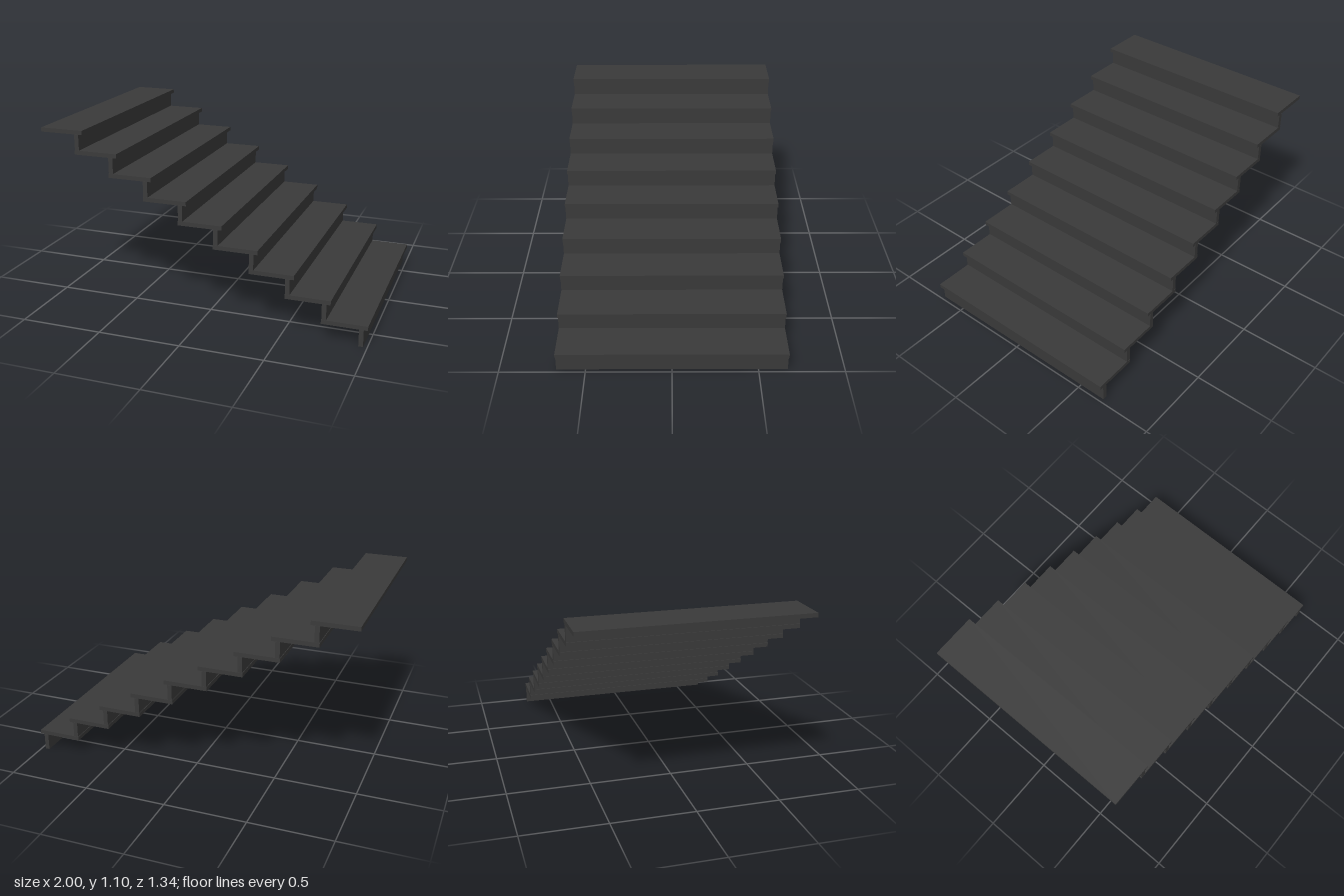
import * as THREE from 'three';

const STEPS = 9;
const RUN = 0.2163, RISE = 0.1215;
const TREAD_DEPTH = 0.27, TREAD_THICK = 0.025, WIDTH = 1.34;
const RISER_THICK = 0.027, NOSING = 0.024;
const JOINT = 0.001; // hairline gap between boards

export function createModel() {
  const group = new THREE.Group();
  group.name = 'staircase';
  const material = new THREE.MeshStandardMaterial({ color: 0x3a3a3a });

  // board spanning x0..x1 and y0..y1 across the full width of the stair
  const board = (name, x0, x1, y0, y1) => {
    const mesh = new THREE.Mesh(new THREE.BoxGeometry(x1 - x0, y1 - y0, WIDTH), material);
    mesh.position.set((x0 + x1) / 2, (y0 + y1) / 2, 0);
    mesh.name = name;
    group.add(mesh);
  };

  for (let i = 0; i < STEPS; i++) {
    const nose = 1 - i * RUN;
    const top = 1.1 - (STEPS - 1 - i) * RISE;
    const under = top - TREAD_THICK;
    const base = i === 0 ? 0 : top - RISE + JOINT;

    // tread overhangs the riser that carries its front edge
    board(`tread${i + 1}`, nose - TREAD_DEPTH, nose, under, top);
    board(`riser${i + 1}`, nose - NOSING - RISER_THICK, nose - NOSING, base, under - JOINT);
  }
  return group;
}
